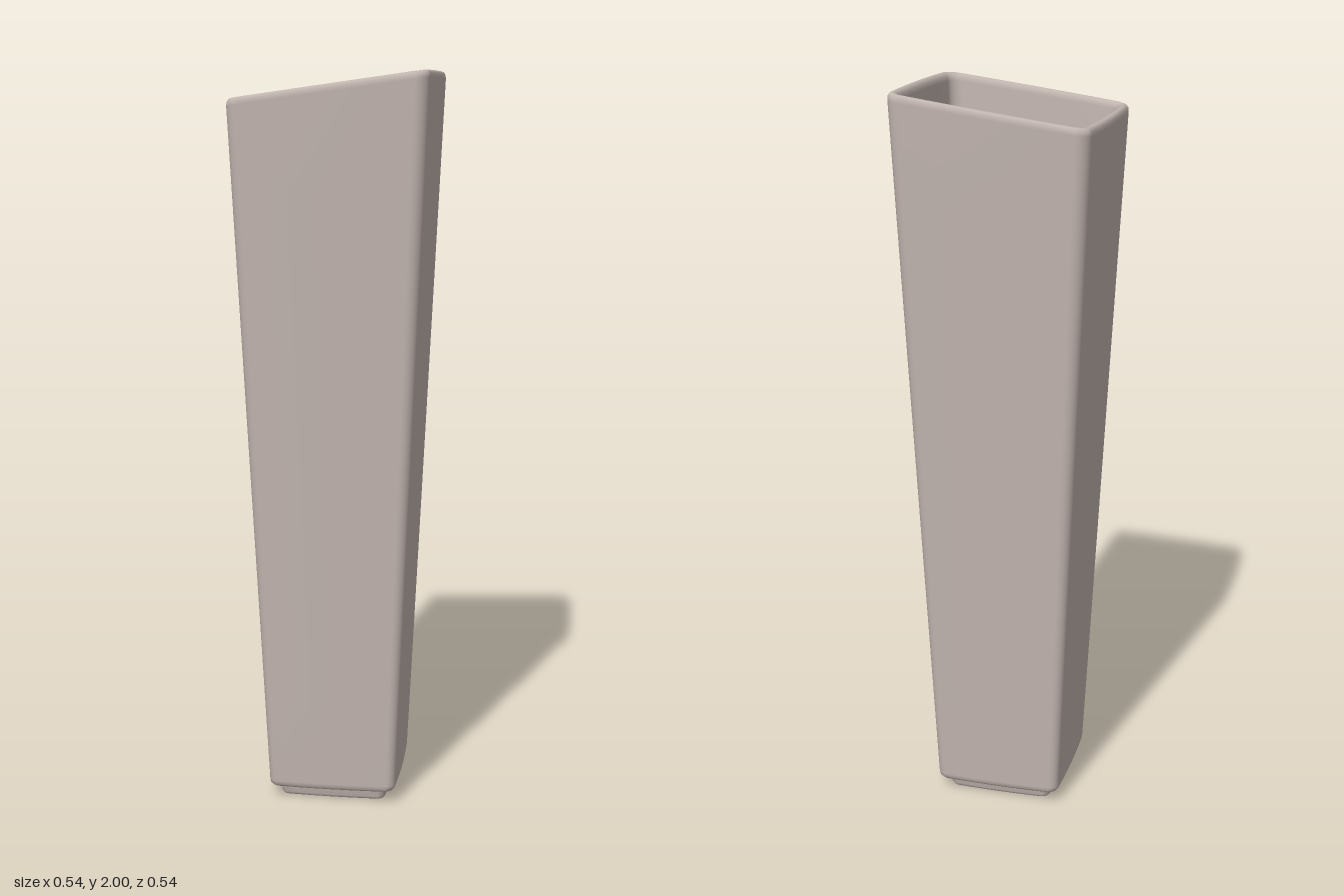
import * as THREE from 'three';

// Unit rounded square with slightly bowed sides, as [x, z] points
function unitSection(radius = 0.13, arcSteps = 6, sideSteps = 6) {
  const pts = [];
  const c = 1 - radius;
  for (let q = 0; q < 4; q++) {
    const turn = (q * Math.PI) / 2;
    const add = (x, z) => {
      const bx = x * (1 - 0.03 * z * z);
      const bz = z * (1 - 0.03 * x * x);
      pts.push([bx * Math.cos(turn) - bz * Math.sin(turn), bx * Math.sin(turn) + bz * Math.cos(turn)]);
    };
    for (let i = 0; i < sideSteps; i++) add(1, -c + (2 * c * i) / sideSteps);
    for (let i = 0; i < arcSteps; i++) {
      const a = ((Math.PI / 2) * i) / arcSteps;
      add(c + radius * Math.cos(a), c + radius * Math.sin(a));
    }
  }
  return pts;
}

// Lofts the section through a profile of [half width, height]
function loft(profile) {
  const section = unitSection();
  const n = section.length;
  const pos = [];
  const index = [];
  profile.forEach(([h, y], i) => {
    section.forEach(([sx, sz], j) => {
      const x = sx * h;
      // The mouth slopes down towards -x
      pos.push(x, y * (1 - 0.01875 * (1 - x / 0.268)), sz * h);
      if (i === profile.length - 1) return;
      const a = i * n + j;
      const b = i * n + ((j + 1) % n);
      index.push(a, a + n, b + n, a, b + n, b);
    });
  });
  const geo = new THREE.BufferGeometry();
  geo.setAttribute('position', new THREE.Float32BufferAttribute(pos, 3));
  geo.setIndex(index);
  geo.computeVertexNormals();
  return geo;
}

// Straight tapering wall between two profile points, in even steps
function wall([h0, y0], [h1, y1], steps = 8) {
  return Array.from({ length: steps + 1 }, (_, i) => {
    const t = i / steps;
    return [h0 + (h1 - h0) * t, y0 + (y1 - y0) * t];
  });
}

export function createModel() {
  const group = new THREE.Group();
  const ceramic = new THREE.MeshStandardMaterial({ color: 0xc2b5b0 });
  ceramic.name = 'warm grey ceramic';

  const addPart = (name, profile) => {
    const mesh = new THREE.Mesh(loft(profile), ceramic);
    mesh.name = name;
    group.add(mesh);
  };

  // Foot ring with a shallow recess underneath
  addPart('foot', [
    [0, 0.02], [0.11, 0.02], [0.117, 0.018], [0.12, 0.012], [0.122, 0.004], [0.127, 0],
    [0.139, 0], [0.146, 0.003], [0.15, 0.01], [0.152, 0.028], [0.155, 0.036],
  ]);

  // Tapered outer wall, rounded lip, inner wall and floor
  addPart('vaseBody', [
    [0.145, 0.034], [0.165, 0.034], [0.174, 0.037], [0.179, 0.044],
    ...wall([0.181, 0.055], [0.268, 1.98]),
    [0.267, 1.991], [0.263, 1.998], [0.257, 2], [0.251, 1.998], [0.246, 1.992],
    ...wall([0.243, 1.98], [0.163, 0.11]),
    [0.16, 0.094], [0.154, 0.086], [0.145, 0.083], [0, 0.083],
  ]);

  return group;
}
